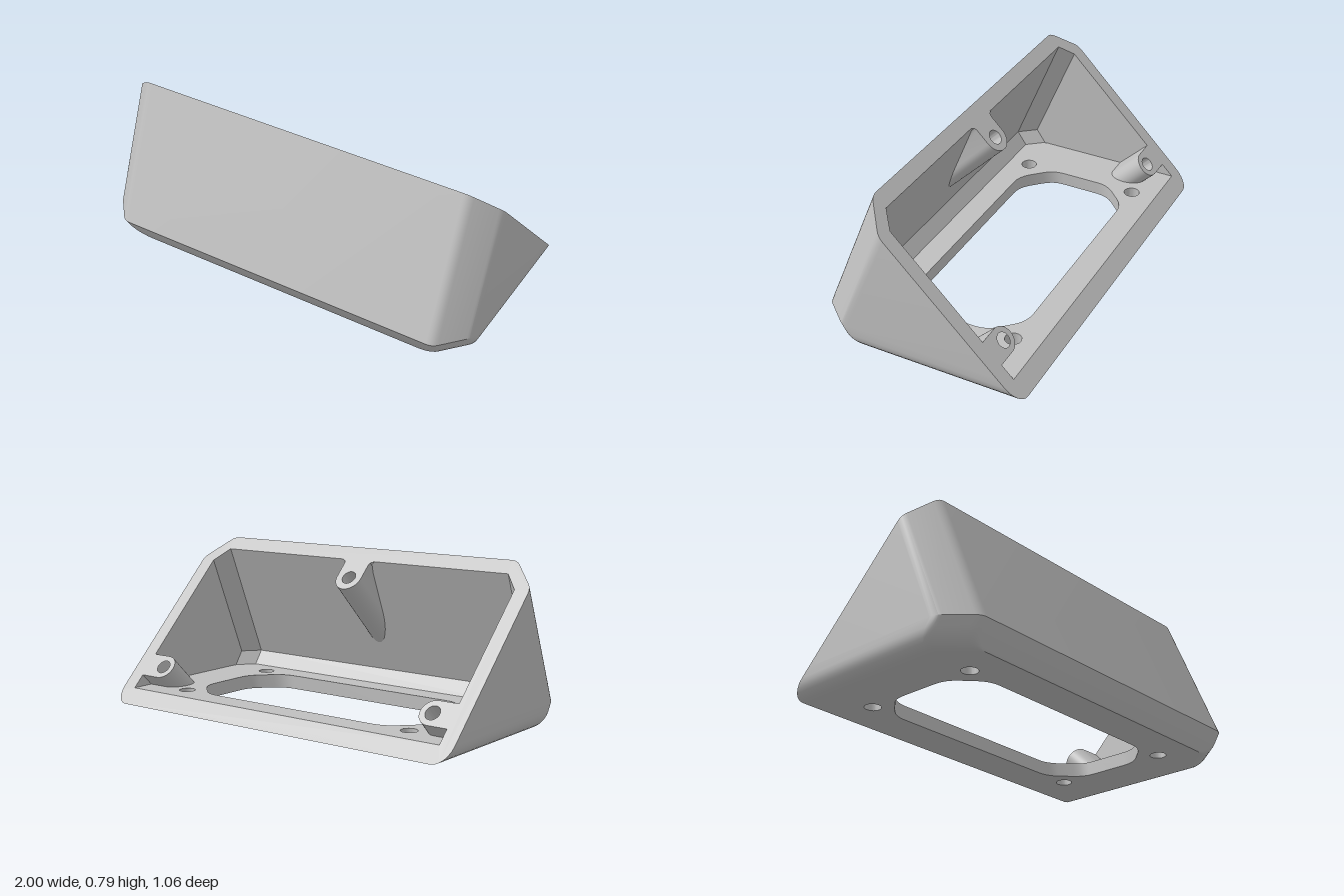
import * as THREE from 'three';
import { toCreasedNormals } from 'three/addons/utils/BufferGeometryUtils.js';

// The opening lies in the plane z = y - BACK; the front wall leans back by LEAN per unit of height.
const BACK = 0.53, LEAN = 0.41;
const grey = new THREE.MeshStandardMaterial({ color: 0xbfbfbf });
grey.name = 'grey plastic';

const crease = (g) => toCreasedNormals(g, 0.5);

function addMesh(group, name, geometry) {
  const mesh = new THREE.Mesh(geometry, grey);
  mesh.name = name;
  group.add(mesh);
}

// Replaces the corners of a polyline by short curves that start r before each corner.
function roundCorners(points, r, closed) {
  const p = points.map(([x, y]) => new THREE.Vector2(x, y));
  const n = p.length, out = [];
  p.forEach((c, i) => {
    if (!closed && (i === 0 || i === n - 1)) return;
    const a = p[(i + n - 1) % n], b = p[(i + 1) % n];
    const s = c.clone().add(a.clone().sub(c).setLength(r));
    const e = c.clone().add(b.clone().sub(c).setLength(r));
    out.push(...new THREE.QuadraticBezierCurve(s, c, e).getPoints(4));
  });
  return out;
}

// Grid of a wall running from the back, round the front, to the back again.
// rows: [y, half width, front z] from the bottom up; corner: [inset from side, distance behind front].
// A last row is added where every column meets the slanted opening.
function wallGrid(rows, corner, front0) {
  const top = (o) => (front0 + BACK - o) / (1 + LEAN);
  const last = rows[rows.length - 1];
  const grid = rows.map(([y, half, front]) => [
    [half, y, y - BACK],
    ...corner.map((c) => [half - c.x, y, front - c.y]),
  ]);
  grid.push([
    [last[1], last[0], last[0] - BACK],
    ...corner.map((c) => [last[1] - c.x, top(c.y), top(c.y) - BACK]),
  ]);
  return grid.map((r) => [...r.map(([x, y, z]) => [-x, y, z]), ...r.slice().reverse()]);
}

function wallGeometry(grid, inward) {
  const cols = grid[0].length, index = [];
  for (let j = 0; j < grid.length - 1; j++) {
    for (let i = 0; i < cols - 1; i++) {
      const a = j * cols + i, b = a + 1, c = b + cols, d = a + cols;
      index.push(...(inward ? [a, c, b, a, d, c] : [a, b, c, a, c, d]));
    }
  }
  const g = new THREE.BufferGeometry();
  g.setAttribute('position', new THREE.Float32BufferAttribute(grid.flat(2), 3));
  g.setIndex(index);
  return crease(g);
}

// Outline of a wall in the plane of the opening, as x and y.
function rimOutline(grid) {
  const right = grid.slice(0, -1).map((r) => r[r.length - 1]);
  const left = grid.slice(0, -1).map((r) => r[0]).reverse();
  const across = grid[grid.length - 1].slice(1, -1).reverse();
  return [...right, ...across, ...left].map(([x, y]) => new THREE.Vector2(x, y));
}

// Moves each vertex of a geometry by a rule.
function moveVertices(g, rule) {
  const pos = g.attributes.position, v = new THREE.Vector3();
  for (let i = 0; i < pos.count; i++) {
    v.fromBufferAttribute(pos, i);
    rule(v);
    pos.setXYZ(i, v.x, v.y, v.z);
  }
  return g;
}

const circle = (x, y, r) => new THREE.Path().absarc(x, y, r, 0, Math.PI * 2, true);

// Screw boss: an outline in the opening plane, run inwards at right angles to it until reach(y, z).
function bossGeometry(points, height, reach) {
  const shape = new THREE.Shape(points);
  shape.holes.push(circle(0, 0, 0.037));
  const g = new THREE.ExtrudeGeometry(shape, { depth: 1, bevelEnabled: false, curveSegments: 20 });
  moveVertices(g, (v) => {
    const y = height + v.y * Math.SQRT1_2, z = y - BACK;
    const t = v.z * Math.max(0.005, reach(y, z));
    v.set(v.x, y - t, z + t);
  });
  return crease(g);
}

export function createModel() {
  const model = new THREE.Group();
  model.name = 'slantedEnclosure';

  // Outer wall with rounded lower edges and chamfered front corners
  const r = 0.075, outerRows = [];
  for (let i = 0; i <= 6; i++) {
    const a = (i / 6) * Math.PI / 2, y = r * (1 - Math.cos(a));
    outerRows.push([y, 1 - r + r * Math.sin(a), 0.46 + y * 0.61]);
  }
  outerRows.push([0.115, 1, 0.53]);
  const outerCorner = roundCorners([[0, 0.9], [0, 0.148], [0.13, 0], [0.5, 0]], 0.03, false);
  const outer = wallGrid(outerRows, outerCorner, 0.577);
  addMesh(model, 'outerWall', wallGeometry(outer, false));

  // Inner wall
  const innerCorner = [new THREE.Vector2(0, 0.085), new THREE.Vector2(0.07, 0)];
  const inner = wallGrid([[0.07, 0.925, 0.39], [0.14, 0.925, 0.4386]], innerCorner, 0.496);
  addMesh(model, 'innerWall', wallGeometry(inner, true));

  // Flat rim round the opening
  const rim = new THREE.Shape(rimOutline(outer));
  rim.holes.push(new THREE.Path(rimOutline(inner)));
  const rimGeometry = moveVertices(new THREE.ShapeGeometry(rim), (v) => v.set(-v.x, v.y, v.y - BACK));
  addMesh(model, 'rim', crease(rimGeometry));

  // Floor plate with the large opening and four screw holes
  const floor = new THREE.Shape(outer[0].map(([x, , z]) => new THREE.Vector2(x, -z)));
  const zMid = -0.03, hx = 0.68, hz = 0.3;
  const octagon = [
    [hx, hz - 0.14], [hx - 0.14, hz], [-hx + 0.14, hz], [-hx, hz - 0.14],
    [-hx, -hz + 0.14], [-hx + 0.14, -hz], [hx - 0.14, -hz], [hx, -hz + 0.14],
  ].map(([x, z]) => [x, z - zMid]);
  floor.holes.push(new THREE.Path(roundCorners(octagon, 0.06, true)));
  for (const x of [-0.68, 0.68]) {
    for (const z of [-0.33, 0.28]) floor.holes.push(circle(x, -z, 0.04));
  }
  const floorGeometry = new THREE.ExtrudeGeometry(floor, { depth: 0.07, bevelEnabled: false, curveSegments: 20 });
  floorGeometry.rotateX(-Math.PI / 2);
  moveVertices(floorGeometry, (v) => { v.z = Math.max(v.z, v.y - BACK); });
  addMesh(model, 'floorPlate', crease(floorGeometry));

  // Rear screw bosses, running from the side walls down to the floor
  const half = new THREE.EllipseCurve(0, 0, 0.066, 0.066, -Math.PI / 2, Math.PI / 2).getPoints(16);
  for (const side of [1, -1]) {
    const outline = [new THREE.Vector2(-0.13, -0.066), ...half, new THREE.Vector2(-0.13, 0.066)]
      .map((p) => new THREE.Vector2(-p.x * side, p.y));
    const g = bossGeometry(outline, 0.175, (y) => y - 0.06);
    g.translate(0.82 * side, 0, 0);
    addMesh(model, side > 0 ? 'leftBoss' : 'rightBoss', g);
  }

  // Front screw boss, fading into the front wall, with a small flare at its root
  const under = new THREE.EllipseCurve(0, 0, 0.073, 0.073, Math.PI, Math.PI * 2).getPoints(16);
  const flare = [[0.073, 0.085], [0.078, 0.1], [0.093, 0.107], [0.093, 0.118]];
  const frontOutline = [
    ...under,
    ...flare.map(([x, y]) => new THREE.Vector2(x, y)),
    ...flare.map(([x, y]) => new THREE.Vector2(-x, y)).reverse(),
  ];
  addMesh(model, 'frontBoss', bossGeometry(frontOutline, 0.65,
    (y, z) => (0.516 - LEAN * y - z) / (1 - LEAN)));

  return model;
}
